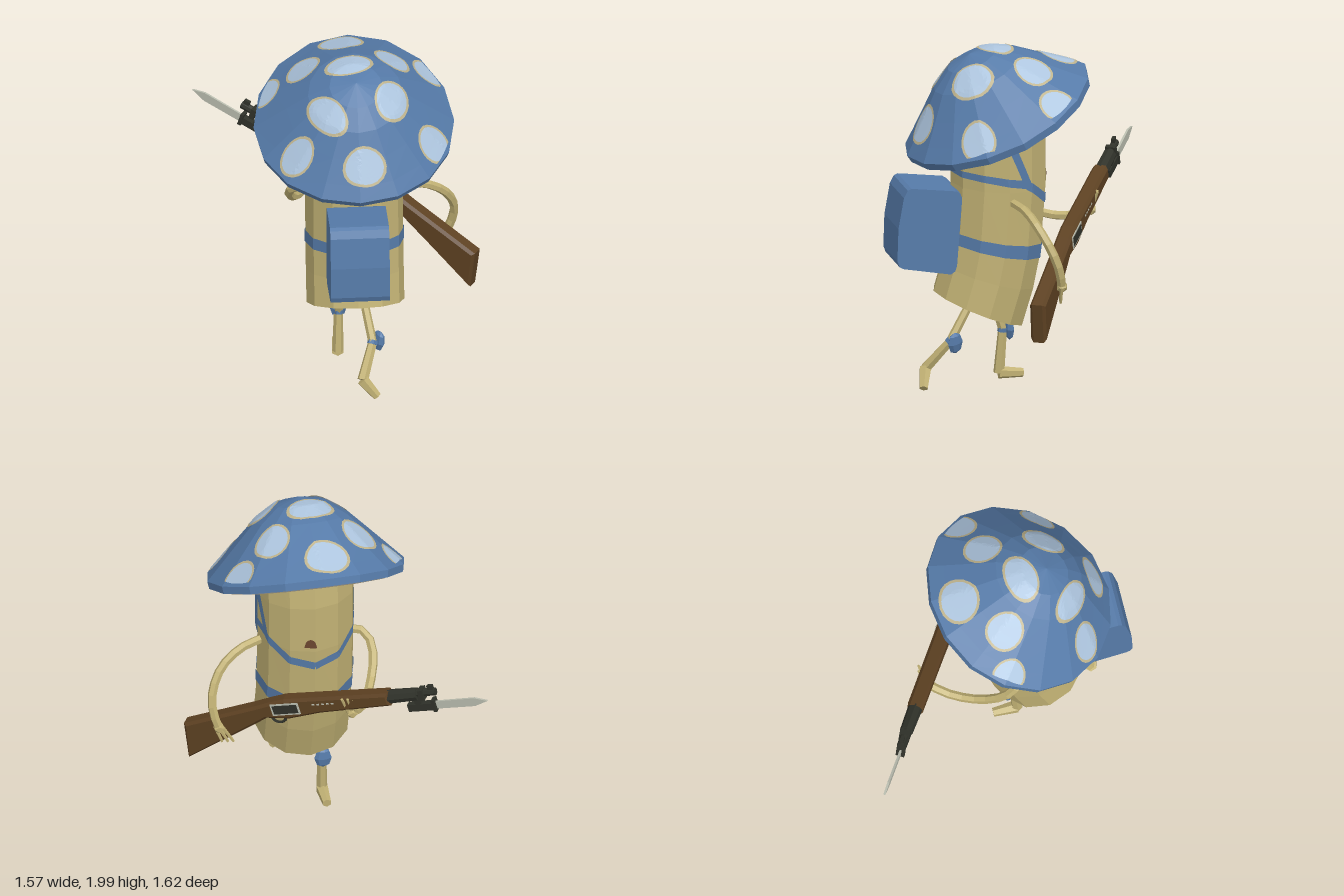
import * as THREE from 'three';

const mat = (name, color) => new THREE.MeshStandardMaterial({ name, color, flatShading: true, side: THREE.DoubleSide });
const blue = mat('capBlue', 0x567ba9), tan = mat('stalkTan', 0xc1b174), pale = mat('spotPale', 0xaec6df);
const rim = mat('spotRim', 0xbfb48e), gill = mat('gillDark', 0x3b3840), vein = mat('gillVein', 0x8e897c);
const wood = mat('wood', 0x5d4122), metal = mat('gunMetal', 0x30322a), steel = mat('bladeSteel', 0xb9bcae);
const mouthBrown = mat('mouthBrown', 0x6b4630);
const V = (x, y, z) => new THREE.Vector3(x, y, z);
const { lerp } = THREE.MathUtils;

function add(parent, name, geometry, material, pos) {
  const m = new THREE.Mesh(geometry, material);
  m.name = name;
  if (pos) m.position.set(...pos);
  parent.add(m);
  return m;
}

// Surface from a rule: fn(i, j) gives the point at each grid corner.
function grid(nu, nv, fn) {
  const p = [], idx = [];
  for (let i = 0; i <= nu; i++) for (let j = 0; j <= nv; j++) p.push(...fn(i, j).toArray());
  for (let i = 0; i < nu; i++) for (let j = 0; j < nv; j++) {
    const a = i * (nv + 1) + j, b = a + nv + 1;
    idx.push(a, a + 1, b, b, a + 1, b + 1);
  }
  const g = new THREE.BufferGeometry();
  g.setAttribute('position', new THREE.Float32BufferAttribute(p, 3));
  g.setIndex(idx);
  const flat = g.toNonIndexed();
  flat.computeVertexNormals();
  return flat;
}

// Tapered rod between two points.
function rod(parent, name, a, b, ra, rb, material, sides = 6) {
  const d = b.clone().sub(a);
  const m = add(parent, name, new THREE.CylinderGeometry(rb, ra, d.length(), sides), material);
  m.position.copy(a).addScaledVector(d, 0.5);
  m.quaternion.setFromUnitVectors(V(0, 1, 0), d.normalize());
}

// Stalk: spine height, z and tilt of each ring.
const CX = 0.06, R = 0.278, SIDES = 12;
const rings = [[0.47, 0.295, 0.39], [0.66, 0.238, 0.29], [0.85, 0.2, 0.2], [1.2, 0.176, 0.05],
  [1.45, 0.176, -0.12], [1.72, 0.21, -0.36]];
function stalkPoint(theta, h, off = 0) {
  let k = 0;
  while (k < rings.length - 2 && h > rings[k + 1][0]) k++;
  const [a, b] = [rings[k], rings[k + 1]], t = (h - a[0]) / (b[0] - a[0]);
  const z = lerp(a[1], b[1], t), tilt = lerp(a[2], b[2], t), step = 2 * Math.PI / SIDES;
  const local = ((theta % step) + step) % step - step / 2;
  const r = (R + off) * Math.cos(step / 2) / Math.cos(local), c = r * Math.cos(theta);
  return V(CX + r * Math.sin(theta), h + c * Math.sin(tilt), z + c * Math.cos(tilt));
}

// Flat strap lying on the stalk along [angle in degrees, height] points.
function strap(parent, name, pts, w) {
  const n = 12;
  const path = [];
  for (let k = 0; k < pts.length - 1; k++) for (let i = k ? 1 : 0; i <= n; i++)
    path.push([lerp(pts[k][0], pts[k + 1][0], i / n) * Math.PI / 180, lerp(pts[k][1], pts[k + 1][1], i / n)]);
  add(parent, name, grid(path.length - 1, 1, (i, j) => {
    const a = path[Math.max(i - 1, 0)], b = path[Math.min(i + 1, path.length - 1)];
    const dx = (b[0] - a[0]) * R, dy = b[1] - a[1], l = Math.hypot(dx, dy), s = (j - 0.5) * w;
    return stalkPoint(path[i][0] - s * dy / l / R, path[i][1] + s * dx / l, 0.005);
  }), blue);
}

function buildStalk(root) {
  const g = new THREE.Group();
  g.name = 'stalk';
  root.add(g);
  add(g, 'stalkBody', grid(rings.length, SIDES, (i, j) =>
    stalkPoint(j * 2 * Math.PI / SIDES, rings[Math.max(i - 1, 0)][0], i ? 0 : -R)), tan);
  strap(g, 'belt', [[0, 0.86], [180, 0.86], [360, 0.86]], 0.075);
  for (const s of [-1, 1]) {
    strap(g, 'chestStrap', [[0, 1.305], [60 * s, 1.285], [112 * s, 1.24], [150 * s, 1.14], [180 * s, 1.11]], 0.045);
    strap(g, 'shoulderStrap', [[82 * s, 1.58], [114 * s, 1.24]], 0.045);
  }
  add(g, 'mouth', grid(8, 1, (i, j) => {
    const a = i / 4 - 1;
    return stalkPoint(Math.PI - 0.1 + a * 0.13, 1.225 + j * 0.048 * Math.sqrt(1 - a * a), 0.007);
  }), mouthBrown);
}

// Cap: radius and height profile, with sides that droop a little.
const CAP = 16;
const profile = [[0, 0.395], [0.15, 0.362], [0.27, 0.288], [0.39, 0.178], [0.5, 0.08], [0.57, 0.02]];
const droop = (r, a) => 0.05 * (r / 0.57) ** 2 * Math.sin(a) ** 2;
function capHeight(x, z) {
  const a = Math.atan2(x, z), step = 2 * Math.PI / CAP;
  const local = ((a % step) + step) % step - step / 2;
  const r = Math.hypot(x, z) * Math.cos(local) / Math.cos(step / 2);
  let k = 0;
  while (k < profile.length - 2 && r > profile[k + 1][0]) k++;
  const [p, q] = [profile[k], profile[k + 1]];
  return lerp(p[1], q[1], (r - p[0]) / (q[0] - p[0])) - droop(r, a);
}
function buildCap(root) {
  const g = new THREE.Group();
  g.name = 'cap';
  g.position.set(0.06, 1.6, 0.18);
  g.rotation.x = 0.428;
  root.add(g);
  const turned = rows => grid(rows.length - 1, CAP, (i, j) => {
    const a = j * 2 * Math.PI / CAP, [r, y] = rows[i];
    return V(r * Math.sin(a), y - droop(r, a), r * Math.cos(a));
  });
  add(g, 'capTop', turned([...profile, [0.562, -0.025], [0.52, -0.03]]), blue);
  add(g, 'gills', turned([[0.52, -0.03], [0.2, -0.04], [0, -0.04]]), gill);
  add(g, 'gillEdge', turned([[0.53, -0.037], [0.503, -0.037]]), vein);
  for (let i = 0; i < 20; i++) {
    const a = (i + 0.5) * Math.PI / 10;
    add(g, 'gillVein', grid(4, 1, (k, j) => {
      const r = lerp(0.2, 0.51, k / 4), w = (j - 0.5) * 0.019;
      return V(r * Math.sin(a) + w * Math.cos(a), lerp(-0.047, -0.038, k / 4) - droop(r, a),
        r * Math.cos(a) - w * Math.sin(a));
    }), vein);
  }
  // Spots: centre x, centre z, radius across, radius outward.
  const spots = [[-0.05, -0.45, 0.132, 0.09], [-0.49, -0.2, 0.1, 0.075], [-0.28, -0.245, 0.11, 0.085],
    [-0.03, -0.15, 0.142, 0.088], [0.225, -0.265, 0.11, 0.085], [0.44, -0.285, 0.105, 0.085],
    [-0.345, 0.295, 0.095, 0.095], [-0.17, 0.155, 0.145, 0.08], [0.2, 0.075, 0.13, 0.095],
    [0.44, 0.215, 0.105, 0.09], [0.03, 0.415, 0.125, 0.088]];
  for (const [cx, cz, across, out] of spots) {
    const a = Math.atan2(cx, cz);
    const point = (t, e) => {
      const p = e * across * Math.cos(t), q = e * out * Math.sin(t);
      let x = cx + p * Math.cos(a) + q * Math.sin(a), z = cz - p * Math.sin(a) + q * Math.cos(a);
      const s = Math.min(1, 0.55 / Math.hypot(x, z));
      x *= s; z *= s;
      return V(x, capHeight(x, z) + 0.008, z);
    };
    add(g, 'spot', grid(5, 20, (i, j) => point(j * Math.PI / 10, i / 5 * 0.88)), pale);
    add(g, 'spotEdge', grid(1, 20, (i, j) => point(j * Math.PI / 10, 0.88 + i * 0.13)), rim);
  }
}

function buildBackpack(root) {
  const s = new THREE.Shape([[0.742, 1.222], [0.72, 1.232], [0.7, 1.23], [0.46, 1.2], [0.435, 1.185], [0.425, 1.155],
    [0.455, 0.76], [0.465, 0.73], [0.49, 0.712], [0.765, 0.762], [0.79, 0.775], [0.803, 0.81], [0.797, 1.0],
    [0.765, 1.18]].map(p => new THREE.Vector2(...p)));
  const geo = new THREE.ExtrudeGeometry(s, { depth: 0.335, bevelEnabled: false });
  geo.rotateY(-Math.PI / 2);
  add(root, 'backpack', geo, blue, [0.22, 0, 0]);
}

function buildLimbs(root) {
  // Legs: hip, knee, ankle, toe, then the way the knee pad faces.
  const legs = [
    ['frontLeg', V(-0.02, 0.46, 0.18), V(-0.025, 0.3, 0.13), V(-0.03, 0.045, 0.15), V(-0.03, 0.035, 0.01), V(0, 0, -1)],
    ['rearLeg', V(0.1, 0.52, 0.34), V(0.145, 0.3, 0.475), V(0.08, 0.13, 0.605), V(0.16, 0.035, 0.635), V(0.85, -0.1, -0.45)]];
  for (const [name, hip, knee, ankle, toe, face] of legs) {
    const g = new THREE.Group();
    g.name = name;
    root.add(g);
    rod(g, 'thigh', hip, knee, 0.024, 0.026, tan);
    rod(g, 'shin', knee, ankle, 0.026, 0.032, tan);
    rod(g, 'foot', ankle, toe, 0.037, 0.026, tan);
    const dir = ankle.clone().sub(knee).normalize();
    rod(g, 'kneeBand', knee.clone().addScaledVector(dir, -0.01), knee.clone().addScaledVector(dir, 0.014), 0.03, 0.03, blue);
    const pad = add(g, 'kneePad', new THREE.SphereGeometry(1, 7, 4), blue);
    pad.scale.set(0.052, 0.065, 0.026);
    pad.position.copy(knee).addScaledVector(face.normalize(), 0.04);
    pad.quaternion.setFromUnitVectors(V(0, 0, 1), face);
  }
  // Arms bend round to the rifle, with three fingers each.
  const arms = [
    ['leftArm', [V(0.3, 1.14, 0.16), V(0.45, 1.12, 0.11), V(0.57, 1.04, 0.06), V(0.635, 0.92, 0), V(0.64, 0.81, -0.04), V(0.61, 0.71, -0.06)], V(-0.05, -0.1, -0.005)],
    ['rightArm', [V(-0.18, 1.14, 0.15), V(-0.27, 1.13, 0.11), V(-0.3, 1.04, 0.03), V(-0.25, 0.92, -0.12), V(-0.17, 0.9, -0.28), V(-0.09, 0.95, -0.4)], V(0.035, 0.12, -0.03)]];
  for (const [name, pts, reach] of arms) {
    const g = new THREE.Group();
    g.name = name;
    root.add(g);
    add(g, 'arm', new THREE.TubeGeometry(new THREE.CatmullRomCurve3(pts), 10, 0.026, 6), tan);
    const wrist = pts[5];
    add(g, 'palm', new THREE.IcosahedronGeometry(0.034, 0), tan, wrist.toArray());
    for (let k = -1; k <= 1; k++) {
      const base = wrist.clone().add(V(k * 0.02, 0, k * 0.006));
      rod(g, 'finger', base, base.clone().add(reach).add(V(k * 0.012, 0, 0)), 0.012, 0.008, tan, 5);
    }
  }
}

// Rifle: local x runs to the muzzle, y is up.
function buildRifle(root) {
  const g = new THREE.Group();
  g.name = 'rifle';
  const x = V(-0.817, 0.301, -0.491).normalize(), z = V(0.515, 0, -0.857).normalize();
  g.quaternion.setFromRotationMatrix(new THREE.Matrix4().makeBasis(x, z.clone().cross(x), z));
  g.position.set(0, 1.02, -0.337);
  root.add(g);
  const plate = (name, pts, depth, bevel, material) => {
    const geo = new THREE.ExtrudeGeometry(new THREE.Shape(pts.map(p => new THREE.Vector2(...p))), {
      depth, bevelEnabled: bevel > 0, bevelSize: bevel, bevelThickness: bevel, bevelOffset: -bevel, bevelSegments: 1 });
    add(g, name, geo.translate(0, 0, -depth / 2), material);
  };
  const box = (name, s, p, material) => add(g, name, new THREE.BoxGeometry(...s), material, p);
  plate('stock', [[0.35, 0.028], [-0.3, 0.036], [-0.4, 0.02], [-0.5, 0], [-0.96, -0.078], [-1.0, -0.305],
    [-0.52, -0.115], [-0.44, -0.08], [-0.3, -0.095], [-0.1, -0.07], [0.35, -0.055]], 0.06, 0.016, wood);
  rod(g, 'foreEnd', V(0.34, -0.012, 0), V(0.52, -0.008, 0), 0.042, 0.038, metal, 8);
  rod(g, 'barrel', V(0.5, 0, 0), V(0.635, 0, 0), 0.023, 0.023, metal, 8);
  box('frontSight', [0.035, 0.03, 0.02], [0.61, 0.03, 0], metal);
  box('muzzleBand', [0.03, 0.065, 0.06], [0.55, -0.005, 0], metal);
  box('bayonetLug', [0.04, 0.1, 0.035], [0.51, -0.055, 0], metal);
  box('bayonetGrip', [0.17, 0.045, 0.04], [0.525, -0.09, 0], metal);
  box('bayonetGuard', [0.02, 0.075, 0.05], [0.605, -0.085, 0], metal);
  plate('bayonetBlade', [[0.6, -0.064], [0.86, -0.06], [0.936, -0.084], [0.85, -0.112], [0.6, -0.112]], 0.012, 0, steel);
  // Receiver plate with a bright edge, and small marks along the fore stock.
  box('receiverEdge', [0.175, 0.075, 0.004], [-0.3, -0.022, 0.048], steel);
  box('receiverPlate', [0.153, 0.055, 0.006], [-0.3, -0.022, 0.049], metal);
  for (let i = 0; i < 5; i++) box('stockMark', [0.016, 0.009, 0.004], [-0.12 + i * 0.03, -0.005, 0.046], steel);
  const guard = add(g, 'triggerGuard', new THREE.TorusGeometry(0.034, 0.008, 5, 10), metal, [-0.38, -0.1, 0]);
  guard.scale.x = 1.25;
}

export function createModel() {
  const root = new THREE.Group();
  root.name = 'mushroomSoldier';
  buildStalk(root);
  buildCap(root);
  buildBackpack(root);
  buildLimbs(root);
  buildRifle(root);
  return root;
}
